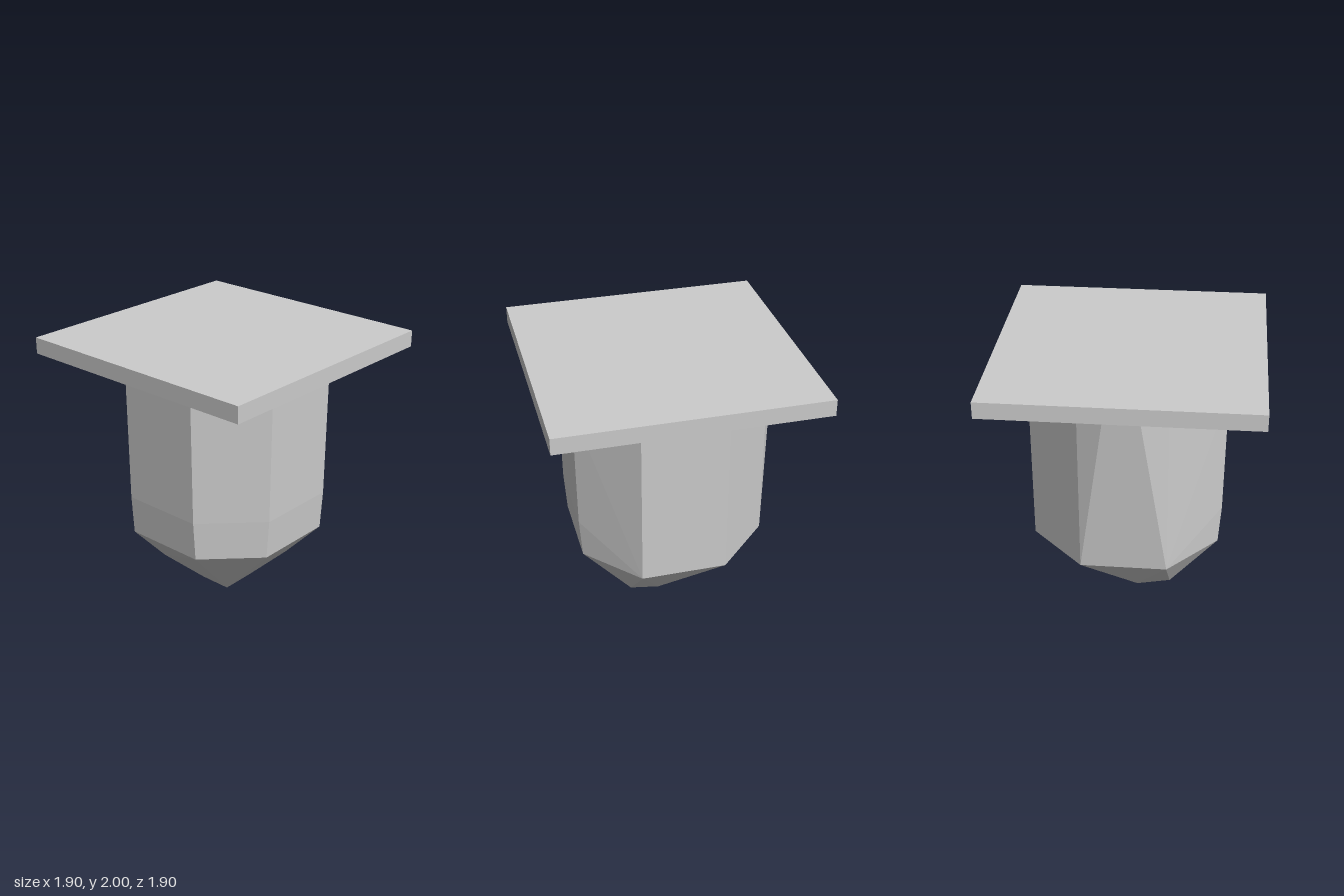
import * as THREE from 'three';
import { ConvexGeometry } from 'three/addons/geometries/ConvexGeometry.js';

const material = new THREE.MeshStandardMaterial({ color: 0xcccccc, flatShading: true });
const v = (x, y, z) => new THREE.Vector3(x, y, z);

function hull(name, points) {
  const mesh = new THREE.Mesh(new ConvexGeometry(points), material);
  mesh.name = name;
  return mesh;
}

// Square-chamfered octagon ring; pos / neg are the reaches toward +x,+z and -x,-z
function octagon(y, pos, neg, half = 0.31) {
  const points = [];
  for (const s of [-half, half]) {
    points.push(v(pos, y, s), v(-neg, y, s), v(s, y, pos), v(s, y, -neg));
  }
  return points;
}

function square(y, r) {
  return [v(r, y, r), v(-r, y, r), v(r, y, -r), v(-r, y, -r)];
}

// A point and its twin across the x = z diagonal
const twin = (x, y, z) => [v(x, y, z), v(z, y, x)];

export function createModel() {
  const group = new THREE.Group();
  group.name = 'cappedHopper';

  // Octagonal body tapering to a small cut foot, leaning out a little at -x
  group.add(hull('body', [
    ...octagon(1.8, 0.7, 0.7),
    ...octagon(0.85, 0.688, 0.7),
    ...octagon(0.555, 0.668, 0.7),
    // raised top
    v(-0.8, 1.853, -0.12), v(-0.8, 1.853, 0.12),
    v(-0.52, 1.853, -0.41), v(-0.52, 1.853, 0.41),
    // corner facets of the taper
    ...twin(0.32, 0.19, -0.35),
    // foot
    v(0.13, 0, 0.13), ...twin(0.13, 0, -0.12), ...twin(0.06, 0, -0.17),
  ]));

  // Square cap with a shallow tapered underside
  group.add(hull('capPlate', [...square(2, 0.95), ...square(1.88, 0.95), ...square(1.852, 0.7)]));

  return group;
}
